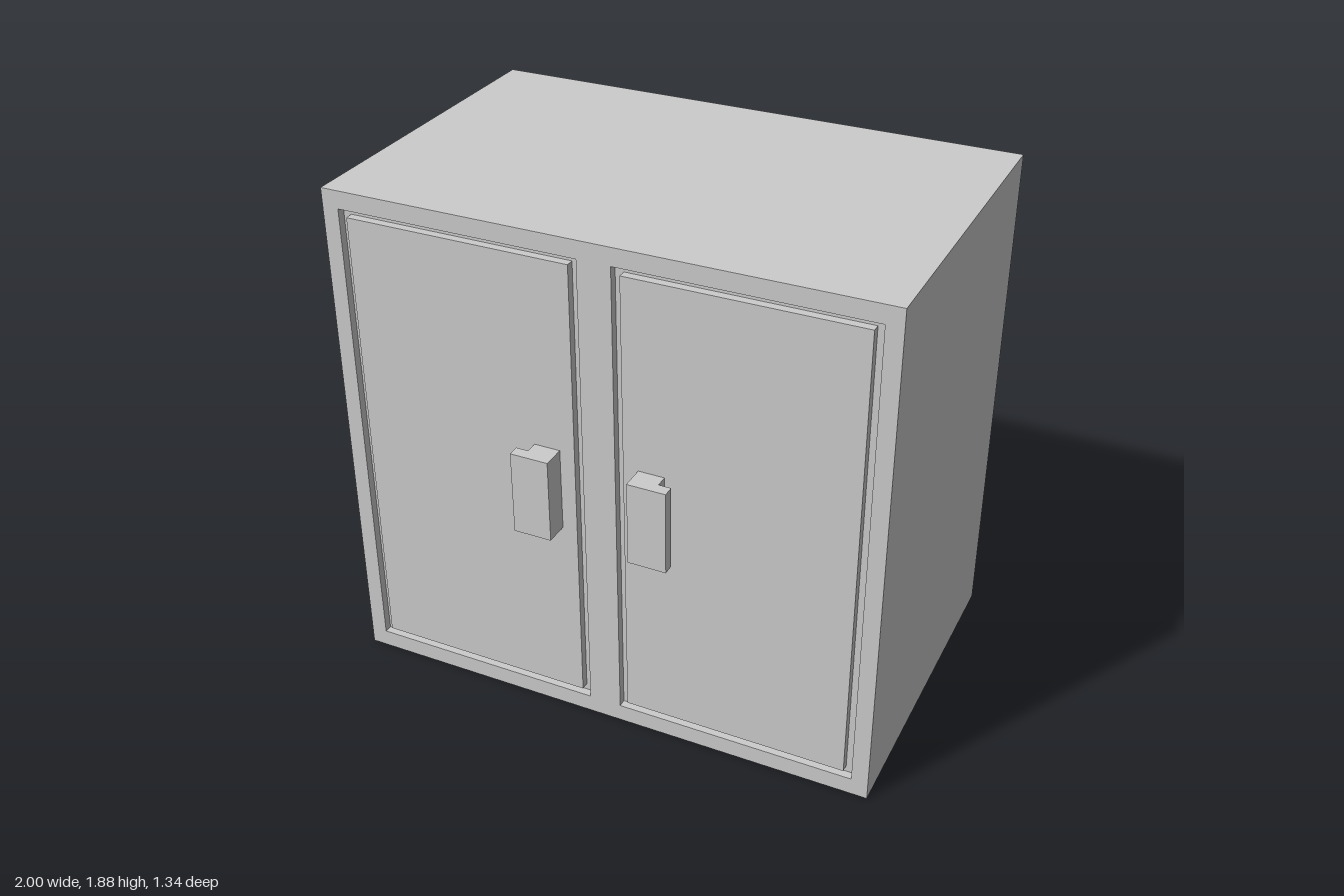
import * as THREE from 'three';

const W = 2, H = 1.88, BACK = -0.67, FRONT = 0.58, GROOVE = 0.03;

export function createModel() {
  const group = new THREE.Group();
  const material = new THREE.MeshStandardMaterial({ color: 0xcccccc, flatShading: true });

  const add = (name, geometry) => {
    const mesh = new THREE.Mesh(geometry, material);
    mesh.name = name;
    group.add(mesh);
    return mesh;
  };
  // Box given by its lower and upper corners
  const box = (name, x0, x1, y0, y1, z0, z1) =>
    add(name, new THREE.BoxGeometry(x1 - x0, y1 - y0, z1 - z0))
      .position.set((x0 + x1) / 2, (y0 + y1) / 2, (z0 + z1) / 2);
  // Closed rectangular outline
  const rect = (path, x0, x1, y0, y1) =>
    path.moveTo(x0, y0).lineTo(x1, y0).lineTo(x1, y1).lineTo(x0, y1).closePath();

  // Cabinet body behind the front frame
  box('body', -W / 2, W / 2, 0, H, BACK, FRONT - GROOVE);

  // Front frame with two door openings
  const frame = rect(new THREE.Shape(), -W / 2, W / 2, 0, H);
  for (const [x0, x1] of [[-0.94, -0.06], [0.06, 0.94]]) {
    frame.holes.push(rect(new THREE.Path(), x0, x1, 0.065, 1.815));
  }
  add('frontFrame', new THREE.ExtrudeGeometry(frame, { depth: GROOVE, bevelEnabled: false }))
    .position.z = FRONT - GROOVE;

  // Flush doors, each set in a narrow groove
  box('rightDoor', -0.91, -0.09, 0.09, 1.79, FRONT - GROOVE, FRONT);
  box('leftDoor', 0.09, 0.91, 0.09, 1.79, FRONT - GROOVE, FRONT);

  // L-shaped pull handles: a stem with a lip pointing away from the middle
  for (const [side, name] of [[-1, 'rightHandle'], [1, 'leftHandle']]) {
    const profile = new THREE.Shape(
      [[0.145, 0.58], [0.24, 0.58], [0.24, 0.625], [0.285, 0.625], [0.285, 0.667], [0.145, 0.667]]
        .map(([x, z]) => new THREE.Vector2(side * x, -z)));
    const handle = new THREE.ExtrudeGeometry(profile, { depth: 0.31, bevelEnabled: false });
    handle.rotateX(-Math.PI / 2);
    add(name, handle).position.y = 0.785;
  }
  return group;
}
